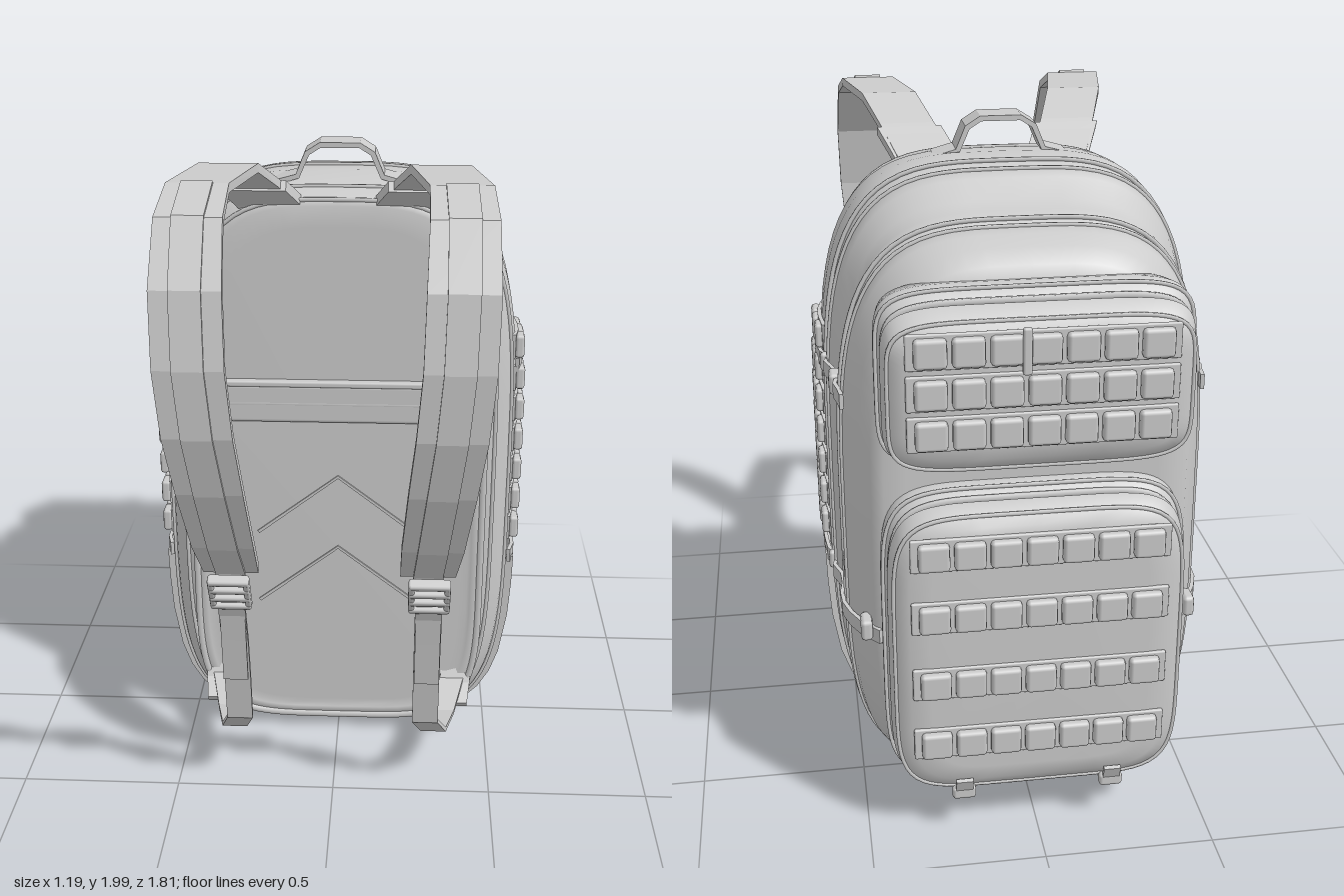
import * as THREE from 'three';
import { RoundedBoxGeometry } from 'three/addons/geometries/RoundedBoxGeometry.js';

const smooth = new THREE.MeshStandardMaterial({ color: 0xcccccc, side: THREE.DoubleSide });
const flat = new THREE.MeshStandardMaterial({ color: 0xcccccc, side: THREE.DoubleSide, flatShading: true });
const V = (x, y, z) => new THREE.Vector3(x, y, z);
const X = V(1, 0, 0), Y = V(0, 1, 0), Z = V(0, 0, 1);

// Skin over a list of closed rings, capped at both ends
function skin(rings) {
  const n = rings[0].length, pos = [], idx = [];
  rings.forEach(r => r.forEach(p => pos.push(p.x, p.y, p.z)));
  for (let i = 0; i < rings.length - 1; i++) for (let j = 0; j < n; j++) {
    const a = i * n + j, b = i * n + (j + 1) % n;
    idx.push(a, b, b + n, a, b + n, a + n);
  }
  [0, rings.length - 1].forEach(i => {
    const c = rings[i].reduce((s, p) => s.add(p), V(0, 0, 0)).divideScalar(n);
    const k = pos.length / 3;
    pos.push(c.x, c.y, c.z);
    for (let j = 0; j < n; j++) {
      const a = i * n + j, b = i * n + (j + 1) % n;
      i ? idx.push(k, a, b) : idx.push(k, b, a);
    }
  });
  const g = new THREE.BufferGeometry();
  g.setAttribute('position', new THREE.Float32BufferAttribute(pos, 3));
  g.setIndex(idx);
  g.computeVertexNormals();
  return g;
}

// Rounded outline in xy: section = [z, half width, bottom, top]
function outline([z, w, b, t], nTop, nBottom, count = 72) {
  const pw = (v, e) => Math.sign(v) * Math.abs(v) ** e;
  return Array.from({ length: count }, (_, i) => {
    const a = i / count * Math.PI * 2, e = 2 / (Math.sin(a) > 0 ? nTop : nBottom);
    return V(w * pw(Math.cos(a), e), (b + t) / 2 + (t - b) / 2 * pw(Math.sin(a), e), z);
  });
}
const loft = (sections, nTop, nBottom) => skin(sections.map(s => outline(s, nTop, nBottom)));

// Flat band along points; side is the constant width direction
function band(pts, side, width, thick, lift = 0) {
  return skin(pts.map((p, i) => {
    const t = pts[Math.min(i + 1, pts.length - 1)].clone().sub(pts[Math.max(i - 1, 0)]).normalize();
    const n = t.cross(side).normalize();
    const w = (Array.isArray(width) ? width[i] : width) / 2;
    return [[1, 1], [-1, 1], [-1, -1], [1, -1]].map(([a, b]) =>
      p.clone().addScaledVector(side, a * w).addScaledVector(n, lift + b * thick / 2));
  }));
}

// Main bag sections, from the pouch side to the wearer's side
const BODY = [
  [-0.7, 0.36, 0.2, 1.58], [-0.695, 0.42, 0.14, 1.66], [-0.67, 0.455, 0.1, 1.71], [-0.62, 0.485, 0.07, 1.745],
  [-0.56, 0.515, 0.06, 1.765], [-0.52, 0.525, 0.06, 1.775], [-0.505, 0.51, 0.075, 1.76], [-0.49, 0.51, 0.075, 1.76],
  [-0.475, 0.53, 0.05, 1.785], [-0.42, 0.52, 0.05, 1.795], [-0.36, 0.52, 0.05, 1.81], [-0.31, 0.54, 0.035, 1.86],
  [-0.27, 0.55, 0.03, 1.875], [-0.255, 0.533, 0.045, 1.86], [-0.215, 0.533, 0.04, 1.865], [-0.2, 0.555, 0.02, 1.885],
  [-0.1, 0.565, 0.015, 1.89], [0, 0.565, 0.02, 1.88], [0.07, 0.54, 0.03, 1.865], [0.11, 0.5, 0.04, 1.845],
  [0.123, 0.47, 0.07, 1.825], [0.126, 0.4, 0.14, 1.76]];
const N_TOP = 3.6, N_BOTTOM = 4.5;

// Half width of the bag at a given height and depth
function sideX(y, z) {
  const i = Math.max(1, BODY.findIndex(s => s[0] >= z)), a = BODY[i - 1], b = BODY[i];
  const f = (z - a[0]) / (b[0] - a[0]);
  const [, w, lo, hi] = a.map((v, k) => v + (b[k] - v) * f);
  const u = (y - (lo + hi) / 2) / ((hi - lo) / 2), n = u > 0 ? N_TOP : N_BOTTOM;
  return w * Math.max(0, 1 - Math.abs(u) ** n) ** (1 / n);
}

export function createModel() {
  const model = new THREE.Group();
  const add = (name, geo, mat = flat, parent = model) => {
    const m = new THREE.Mesh(geo, mat);
    m.name = name;
    parent.add(m);
    return m;
  };
  const box = (name, w, h, d, x, y, z, parent = model) => {
    const m = add(name, new RoundedBoxGeometry(w, h, d, 1, Math.min(w, h, d) * 0.35), smooth, parent);
    m.position.set(x, y, z);
    return m;
  };
  const piping = (name, section, nTop, nBottom, r) => add(name, new THREE.TubeGeometry(
    new THREE.CatmullRomCurve3(outline(section, nTop, nBottom, 64), true), 128, r, 6, true), smooth);

  // Main bag with its zips and seams
  add('mainBag', loft(BODY, N_TOP, N_BOTTOM), smooth);
  [[-0.235, 0.535, 0.042, 1.864], [-0.498, 0.512, 0.072, 1.762]].forEach(s => piping('zip', s, N_TOP, N_BOTTOM, 0.011));
  [[-0.2, 0.556, 0.02, 1.886], [-0.27, 0.551, 0.03, 1.876], [-0.475, 0.531, 0.05, 1.786],
    [-0.52, 0.526, 0.06, 1.776], [0.05, 0.55, 0.025, 1.87], [0.112, 0.498, 0.042, 1.843]]
    .forEach(s => piping('seam', s, N_TOP, N_BOTTOM, 0.007));

  // Padded panel against the wearer
  add('backPad', loft([[0.09, 0.48, 0.04, 1.26], [0.13, 0.475, 0.05, 1.26], [0.142, 0.455, 0.075, 1.25],
    [0.142, 0.435, 0.09, 1.24], [0.134, 0.425, 0.1, 1.23], [0.138, 0.4, 0.12, 1.2]], 14, 4.5), smooth);
  box('padTopBand', 0.97, 0.13, 0.04, 0, 1.2, 0.128);
  box('padTopHem', 0.97, 0.02, 0.046, 0, 1.265, 0.128);
  piping('padRim', [0.138, 0.465, 0.06, 1.2], 14, 4.5, 0.012);
  for (const top of [0.95, 0.7])
    add('chevron', band([V(-0.26, top - 0.2, 0.14), V(0, top, 0.14), V(0.26, top - 0.2, 0.14)], Z, 0.008, 0.01));

  // Top carry handle
  add('carryHandle', band([V(-0.2, 1.87, -0.04), V(-0.13, 1.89, -0.04), V(-0.1, 1.96, -0.04), V(-0.06, 1.985, -0.04),
    V(0.06, 1.985, -0.04), V(0.1, 1.96, -0.04), V(0.13, 1.89, -0.04), V(0.2, 1.87, -0.04)], Z, 0.1, 0.016));

  for (const s of [1, -1]) {
    const side = new THREE.Group();
    side.name = s > 0 ? 'leftSide' : 'rightSide';
    model.add(side);
    const path = list => list.map(([x, y, z]) => V(s * x, y, z));

    // Shoulder strap with a narrower webbing on top
    const strap = path([[0.21, 1.83, 0.08], [0.255, 1.91, 0.2], [0.3, 1.98, 0.33], [0.35, 1.982, 0.6], [0.355, 1.93, 0.75],
      [0.355, 1.77, 0.85], [0.35, 1.57, 0.884], [0.335, 1.38, 0.874], [0.315, 1.2, 0.825], [0.295, 1.0, 0.74], [0.285, 0.88, 0.655]]);
    add('shoulderStrap', band(strap, X, [0.17, 0.17, 0.17, 0.17, 0.18, 0.19, 0.19, 0.19, 0.185, 0.175, 0.16], 0.026), flat, side);
    add('strapWebbing', band(strap.slice(3), X, 0.085, 0.01, 0.016), flat, side);
    add('strapAnchor', band(path([[0.19, 1.8, 0.07], [0.21, 1.835, 0.1], [0.25, 1.9, 0.19]]), X, 0.2, 0.034), flat, side);

    // Adjusting buckle, lower webbing and loose end
    const buckle = new THREE.Group();
    buckle.name = 'strapBuckle';
    buckle.position.set(s * 0.29, 0.81, 0.67);
    buckle.rotation.x = 0.5;
    side.add(buckle);
    for (const y of [-0.06, -0.02, 0.02, 0.06]) box('buckleBar', 0.12, 0.02, 0.035, 0, y, 0, buckle);
    for (const x of [-0.052, 0.052]) box('buckleSide', 0.018, 0.14, 0.03, x, 0, 0, buckle);
    add('lowerWebbing', band(path([[0.29, 0.88, 0.67], [0.29, 0.74, 0.635], [0.29, 0.6, 0.58], [0.29, 0.45, 0.545], [0.29, 0.29, 0.52],
      [0.32, 0.2, 0.43], [0.35, 0.175, 0.29], [0.39, 0.22, 0.12]]), X, 0.08, 0.014), flat, side);
    add('looseEnd', band(path([[0.29, 0.74, 0.63], [0.29, 0.62, 0.612], [0.29, 0.47, 0.59]]), X, 0.075, 0.01), flat, side);
    add('webbingAnchor', band(path([[0.4, 0.27, 0.11], [0.395, 0.2, 0.15], [0.385, 0.16, 0.22]]), X, 0.1, 0.02), flat, side);

    // Attachment loops on the side
    for (let r = 0; r < 7; r++) {
      const y = 0.73 + r * 0.105;
      add('sideWebbing', band([0.03, -0.03, -0.1, -0.19].map(z => V(s * (sideX(y, z) + 0.004), y, z)), Y, 0.08, 0.012), flat, side);
      for (const z of [0, -0.075, -0.15])
        box('sideLoop', 0.03, 0.075, 0.064, s * (sideX(y, z) + 0.013), y, z, side);
    }

    // Open pocket low on the side
    const ys = [0.08, 0.12, 0.18, 0.26, 0.4, 0.52, 0.62];
    add('sidePocket', band(ys.map(y => V(s * (sideX(y, -0.08) + 0.006), y, -0.08)), Z, 0.21, 0.024), flat, side);

    // Compression straps hugging the bag
    for (const [y, z0, z1, zb] of [[1.3, 0.03, -0.56, -0.4], [0.63, 0.04, -0.69, -0.66]]) {
      const pts = Array.from({ length: 14 }, (_, i) => {
        const z = z0 + (z1 - z0) * i / 13;
        return V(s * (sideX(y, z) + 0.014), y + (y < 1 ? z * 0.03 : 0), z);
      });
      add('compressionStrap', band(pts, Y, 0.045, 0.012), flat, side);
      box('compressionBuckle', 0.035, 0.065, 0.07, s * (sideX(y, zb) + 0.02), y, zb, side);
      box('strapStop', 0.03, 0.06, 0.03, s * (sideX(y, -0.235) + 0.025), y, -0.235, side);
    }

    // Zip pulls and the loops under the lower pouch
    box('zipPull', 0.02, 0.09, 0.02, s * (sideX(0.16, -0.235) + 0.012), 0.14, -0.235, side);
    box('zipPull', 0.02, 0.09, 0.02, s * (sideX(0.75, -0.5) + 0.014), 0.75, -0.498, side);
    add('bottomLoop', band(path([[0.22, 0.09, -0.64], [0.22, 0.105, -0.72], [0.22, 0.13, -0.79], [0.22, 0.16, -0.85],
      [0.22, 0.21, -0.87]]), X, 0.05, 0.012), flat, side);
    box('bottomLoopBuckle', 0.07, 0.04, 0.03, s * 0.22, 0.155, -0.845, side);
  }

  // Two outer pouches with rows of attachment loops
  function pouch(name, b, t, rows, slope) {
    add(name, loft([[-0.866, 0.31, b + 0.1, t - 0.09 - slope], [-0.86, 0.37, b + 0.055, t - 0.05 - slope],
      [-0.835, 0.41, b + 0.02, t - 0.025 - slope], [-0.79, 0.425, b + 0.008, t - 0.012 - slope / 2],
      [-0.775, 0.412, b + 0.02, t - 0.024 - slope / 2], [-0.755, 0.412, b + 0.02, t - 0.024 - slope / 3],
      [-0.74, 0.432, b, t - 0.005], [-0.7, 0.437, b, t], [-0.64, 0.43, b + 0.01, t - 0.01]], 6, 6), smooth);
    piping(name + 'Zip', [-0.765, 0.415, b + 0.017, t - 0.02 - slope / 3], 6, 6, 0.01);
    piping(name + 'Seam', [-0.74, 0.433, b - 0.001, t - 0.004], 6, 6, 0.006);
    piping(name + 'Edge', [-0.835, 0.411, b + 0.019, t - 0.024 - slope], 6, 6, 0.006);
    for (const y of rows) {
      box(name + 'Webbing', 0.73, 0.1, 0.014, 0, y, -0.866);
      for (let c = -3; c <= 3; c++) box(name + 'Loop', 0.088, 0.082, 0.032, c * 0.1, y, -0.88);
    }
  }
  pouch('upperPouch', 1.18, 1.68, [1.32, 1.435, 1.55], 0.04);
  pouch('lowerPouch', 0.15, 1.1, [0.35, 0.55, 0.765, 0.96], 0.02);
  box('pouchPull', 0.025, 0.13, 0.02, 0.05, 1.55, -0.895);
  return model;
}
